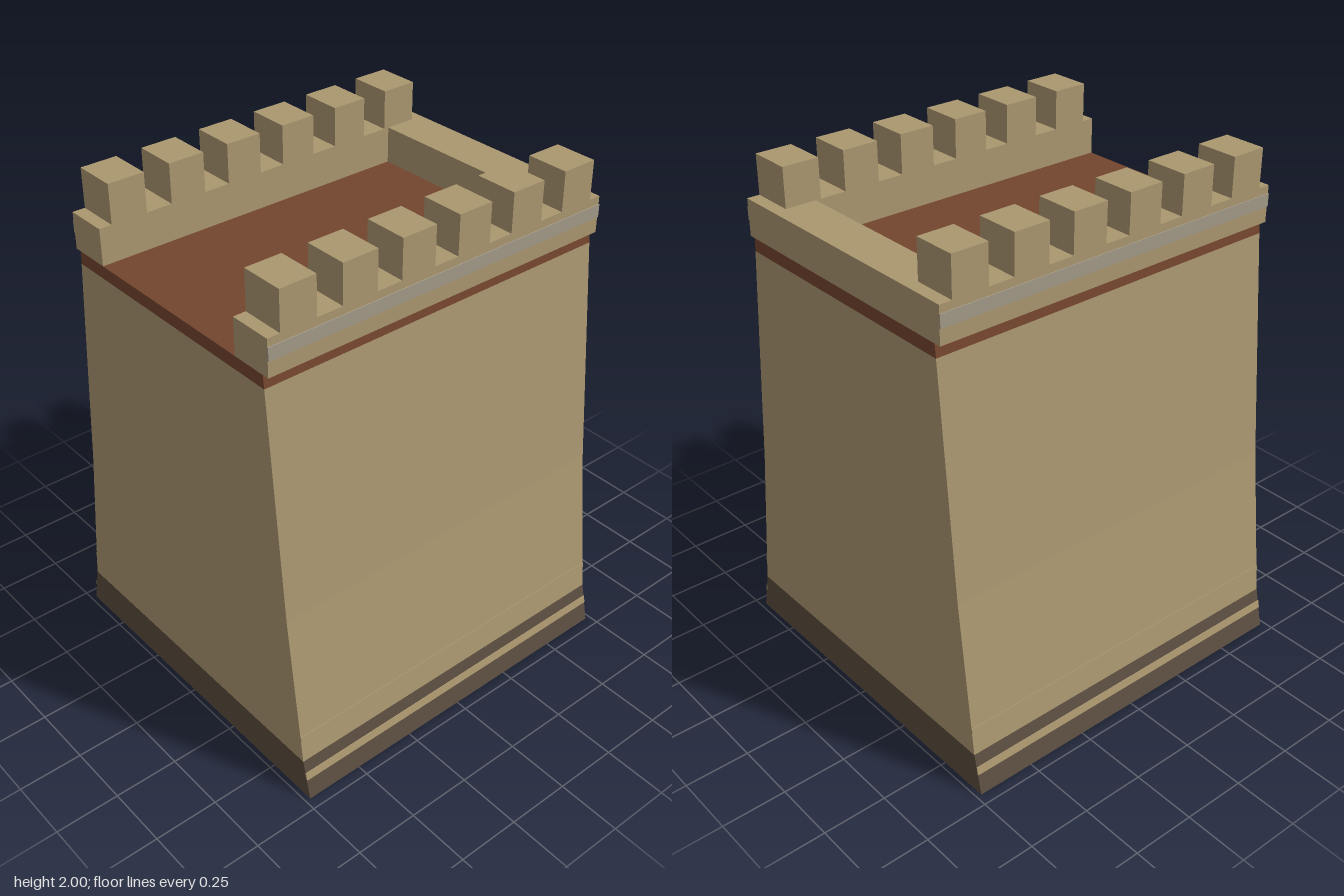
import * as THREE from 'three';

const HALF = 0.73;

export function createModel() {
  const model = new THREE.Group();
  model.name = 'castleWallSegment';

  const material = (name, color) => {
    const m = new THREE.MeshStandardMaterial({ color });
    m.name = name;
    return m;
  };
  const sandstone = material('sandstone', 0xab9770);
  const darkStone = material('dark stone', 0x5b4d3f);
  const rust = material('rust red', 0x74462e);
  const grey = material('pale grey', 0xa49b88);

  const add = (name, geometry, mat) => {
    const mesh = new THREE.Mesh(geometry, mat);
    mesh.name = name;
    model.add(mesh);
    return mesh;
  };

  // Prism along x from a closed (z, y) section
  const prism = (name, section, mat) => {
    const shape = new THREE.Shape(section.map(([z, y]) => new THREE.Vector2(-z, y)));
    const g = new THREE.ExtrudeGeometry(shape, { depth: 2 * HALF, bevelEnabled: false });
    g.rotateY(Math.PI / 2).translate(-HALF, 0, 0);
    return add(name, g, mat);
  };

  // Symmetric section from its half widths
  const mirrored = (half) => [...half, ...half.map(([z, y]) => [-z, y]).reverse()];

  // Box given by its corner limits
  const block = (name, x0, x1, y0, y1, z0, z1, mat) => {
    const g = new THREE.BoxGeometry(x1 - x0, y1 - y0, z1 - z0);
    g.translate((x0 + x1) / 2, (y0 + y1) / 2, (z0 + z1) / 2);
    return add(name, g, mat);
  };

  // Plinth, battered wall and walkway slab
  prism('plinth', mirrored([[0.706, 0], [0.67, 0.16]]), darkStone);
  prism('wallBody', mirrored([[0.67, 0.16], [0.595, 0.77], [0.515, 1.66]]), sandstone);
  prism('walkway', mirrored([[0.515, 1.66], [0.51, 1.71]]), rust);

  // Parapets with merlons, and thin courses on both long faces
  for (const s of [1, -1]) {
    const side = s > 0 ? 'front' : 'back';
    const span = (a, b) => (s > 0 ? [a, b] : [-b, -a]);
    block(side + 'Parapet', -HALF, 0.56, 1.71, 1.85, ...span(0.37, 0.537), sandstone);
    for (let i = 0; i < 6; i++) {
      const x = -0.61 + i * 0.244;
      block(side + 'Merlon', x - 0.071, x + 0.071, 1.85, 2, ...span(0.37, 0.537), sandstone);
    }
    block(side + 'ParapetStripe', -HALF, HALF, 1.77, 1.82, ...span(0.535, 0.541), grey);

    const course = (name, y0, z0, y1, z1, mat) => prism(side + name,
      [[s * (z0 - 0.003), y0], [s * (z0 + 0.003), y0], [s * (z1 + 0.003), y1], [s * (z1 - 0.003), y1]], mat);
    course('PlinthStripe', 0.08, 0.688, 0.11, 0.681, sandstone);
    course('WallCourse', 0.25, 0.659, 0.27, 0.6565, sandstone);
  }

  // Low parapet closing the left end
  block('endParapet', 0.56, HALF, 1.71, 1.85, -0.537, 0.537, sandstone);

  return model;
}
